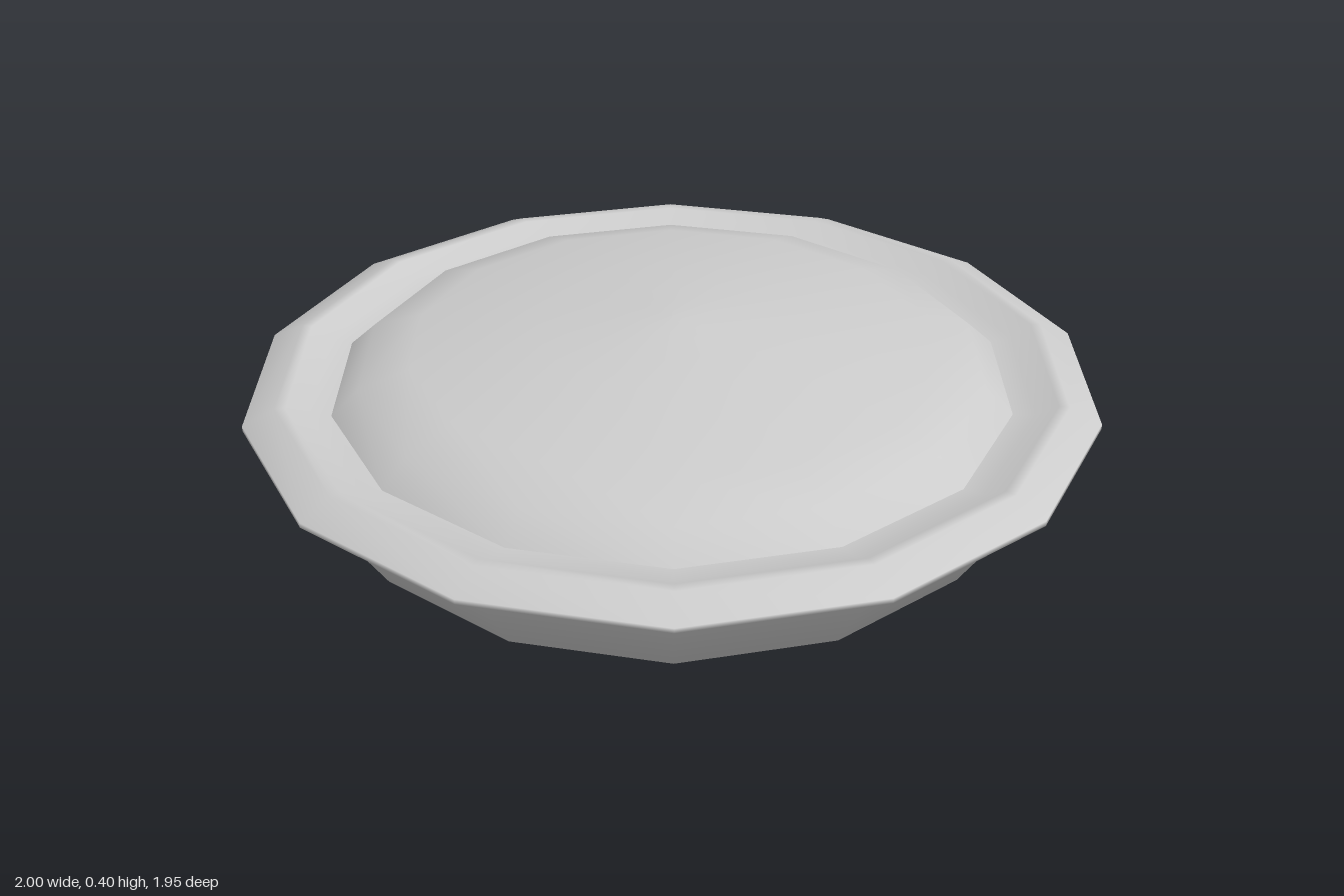
import * as THREE from 'three';

const SIDES = 14;

// Low-sided lathe with a corner on the x axis
function turned(name, profile, material) {
  const points = profile.map(([r, y]) => new THREE.Vector2(r, y));
  const mesh = new THREE.Mesh(new THREE.LatheGeometry(points, SIDES, Math.PI / 2), material);
  mesh.name = name;
  return mesh;
}

export function createModel() {
  const model = new THREE.Group();
  model.name = 'pie';
  const material = new THREE.MeshStandardMaterial({ color: 0xcccccc });

  // Dish with sloping wall, overhanging rim and inner groove
  model.add(turned('dishAndRim', [
    [0, 0], [0.8, 0], [0.935, 0.207], [1, 0.223], [1, 0.235],
    [0.925, 0.27], [0.9, 0.27], [0.85, 0.242], [0.79, 0.235],
  ], material));

  // Domed top crust rising out of the groove
  model.add(turned('topCrust', [
    [0.8, 0.235], [0.735, 0.295], [0.615, 0.335], [0.32, 0.377], [0.08, 0.398], [0, 0.4],
  ], material));

  return model;
}
